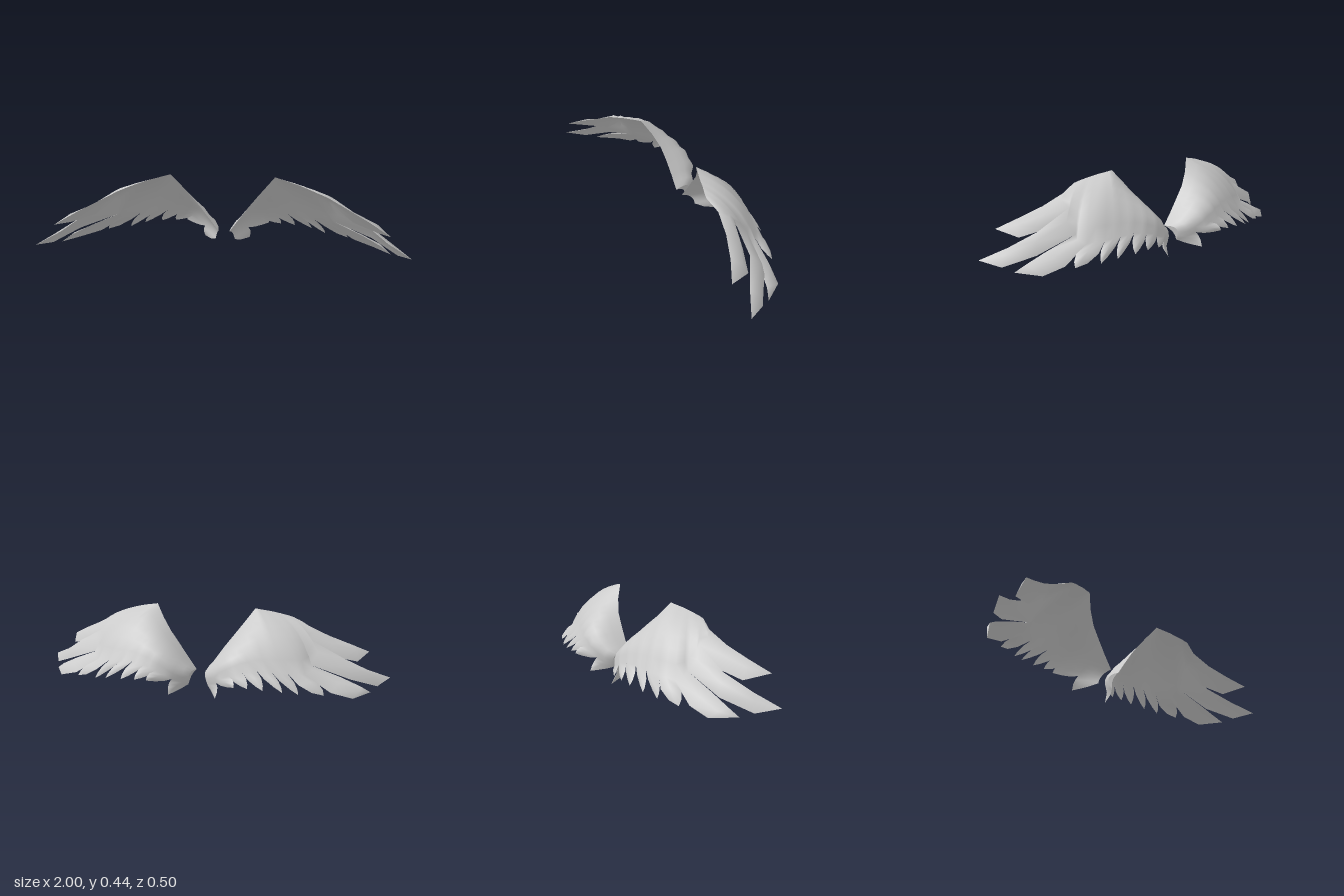
import * as THREE from 'three';
import { mergeVertices } from 'three/addons/utils/BufferGeometryUtils.js';

const V = (p) => new THREE.Vector3(...p);
const mix = (a, b, t = 0.5) => a.clone().lerp(b, t);

// Ribs from wing tip to shoulder: leading edge point, notch between feathers, bulge
const ribs = [
  [[0.48, 0.393, 0.128], [0.56, 0.355, 0.112], [0, 0, 0]],
  [[0.45, 0.403, 0.12], [0.585, 0.295, 0.035], [0.008, 0.014, 0]],
  [[0.41, 0.415, 0.105], [0.60, 0.175, -0.035], [0.02, 0.035, -0.01]],
  [[0.36, 0.427, 0.09], [0.585, 0.135, -0.10], [0.025, 0.04, -0.02]],
  [[0.31, 0.437, 0.07], [0.50, 0.145, -0.14], [0.018, 0.035, -0.028]],
  [[0.28, 0.443, 0.06], [0.42, 0.155, -0.165], [0.008, 0.025, -0.03]],
  [[0.23, 0.372, 0.02], [0.345, 0.16, -0.18], [0, 0.028, -0.036]],
  [[0.18, 0.305, -0.005], [0.27, 0.15, -0.195], [0, 0.03, -0.042]],
  [[0.13, 0.24, -0.012], [0.20, 0.125, -0.20], [0, 0.03, -0.05]],
  [[0.08, 0.17, -0.015], [0.125, 0.075, -0.17], [0, 0.03, -0.05]],
  [[0.03, 0.10, -0.015], [0.055, 0.03, -0.085], [0, 0.03, -0.05]],
].map((r) => r.map(V));

// Feathers between neighbouring ribs: tip, then optional [front, rear] edge points
const feathers = [
  { tip: [0.88, 0.20, 0.25], edge: [[[0.67, 0.30, 0.14], [0.70, 0.205, 0.06]], [[0.78, 0.25, 0.19], [0.83, 0.172, 0.12]]] },
  { tip: [1.0, 0.07, 0.22], edge: [[[0.76, 0.20, 0.06], [0.81, 0.10, 0.005]], [[0.88, 0.125, 0.145], [0.94, 0.046, 0.11]]] },
  { tip: [0.91, 0.028, 0.05], edge: [[[0.76, 0.11, 0.0], [0.72, 0.05, -0.10]], [[0.86, 0.062, 0.025], [0.83, 0.02, -0.07]]] },
  { tip: [0.69, 0.045, -0.14], edge: [[[0.65, 0.10, -0.10], [0.565, 0.095, -0.165]], [[0.68, 0.07, -0.12], [0.63, 0.06, -0.16]]] },
  { tip: [0.565, 0.05, -0.185] },
  { tip: [0.488, 0.065, -0.22] },
  { tip: [0.39, 0.073, -0.24] },
  { tip: [0.31, 0.078, -0.245] },
  { tip: [0.24, 0.08, -0.25] },
  { tip: [0.13, 0.0, -0.21], edge: [[[0.135, 0.055, -0.18], [0.085, 0.014, -0.125]], [[0.137, 0.03, -0.195], [0.108, 0.006, -0.17]]] },
];

// Rows of [front, centre, rear] across one feather; lift arches the centre line
function featherRows(i, lift) {
  const a = ribs[i][1], b = ribs[i + 1][1], tip = V(feathers[i].tip);
  const edges = feathers[i].edge
    ? feathers[i].edge.map((e) => e.map(V))
    : [0.4, 0.75].map((t) => {
      const spread = a.clone().sub(b).multiplyScalar(0.2 * (1 - t * 0.5));
      return [mix(a, tip, t).add(spread), mix(b, tip, t).sub(spread)];
    });
  const rows = [[a, b], ...edges].map(([p, q], k) => {
    const c = mix(p, q);
    if (k === 0) c.lerp(tip, 0.06);
    const across = q.clone().sub(p);
    const normal = tip.clone().sub(c).cross(across).normalize();
    return [p, c.addScaledVector(normal, lift * across.length()), q];
  });
  return [...rows, [tip, tip, tip]];
}

// Curved rib from leading edge to trailing point
function ribCurve(lead, trail, bulge, amount) {
  const ctrl = mix(lead, trail).addScaledVector(bulge, 2 * amount);
  return new THREE.QuadraticBezierCurve3(lead, ctrl, trail).getPoints(6);
}

// One skin: all ribs plus all feathers, as a list of point grids
function skin(lift, amount) {
  const columns = [], grids = [];
  ribs.forEach(([lead, trail, bulge], i) => {
    columns.push(ribCurve(lead, trail, bulge, amount));
    if (i === ribs.length - 1) return;
    const rows = featherRows(i, lift);
    const next = ribs[i + 1];
    columns.push(ribCurve(mix(lead, next[0]), rows[0][1], mix(bulge, next[2]), amount));
    grids.push(rows);
  });
  grids.push(columns[0].map((_, r) => columns.map((c) => c[r])));
  return { grids, shoulder: columns[columns.length - 1] };
}

// Turn grids into one smooth surface
function surface(grids, side, flip) {
  const pos = [];
  const tri = (a, b, c) => {
    if (a.distanceTo(b) < 1e-6 || b.distanceTo(c) < 1e-6 || a.distanceTo(c) < 1e-6) return;
    const order = flip !== (side < 0) ? [a, c, b] : [a, b, c];
    for (const p of order) pos.push(p.x * side, p.y, p.z);
  };
  for (const g of grids) {
    for (let r = 0; r < g.length - 1; r++) {
      for (let c = 0; c < g[r].length - 1; c++) {
        tri(g[r][c], g[r + 1][c], g[r][c + 1]);
        tri(g[r][c + 1], g[r + 1][c], g[r + 1][c + 1]);
      }
    }
  }
  let geo = new THREE.BufferGeometry();
  geo.setAttribute('position', new THREE.Float32BufferAttribute(pos, 3));
  geo = mergeVertices(geo, 1e-5);
  geo.computeVertexNormals();
  return geo;
}

export function createModel() {
  const model = new THREE.Group();
  model.name = 'wings';
  const material = new THREE.MeshStandardMaterial({ color: 0xcccccc, side: THREE.DoubleSide });
  const upper = skin(0.22, 1), under = skin(0.03, 0.35);
  // Closing strip at the shoulder
  const shoulder = upper.shoulder.map((p, r) => [p, under.shoulder[r]]);

  for (const side of [1, -1]) {
    const wing = new THREE.Group();
    wing.name = side > 0 ? 'leftWing' : 'rightWing';
    const add = (name, grids, flip) => {
      const mesh = new THREE.Mesh(surface(grids, side, flip), material);
      mesh.name = name;
      wing.add(mesh);
    };
    add('upperFeathers', upper.grids, false);
    add('underFeathers', under.grids, true);
    add('shoulderEnd', [shoulder], false);
    model.add(wing);
  }
  return model;
}
